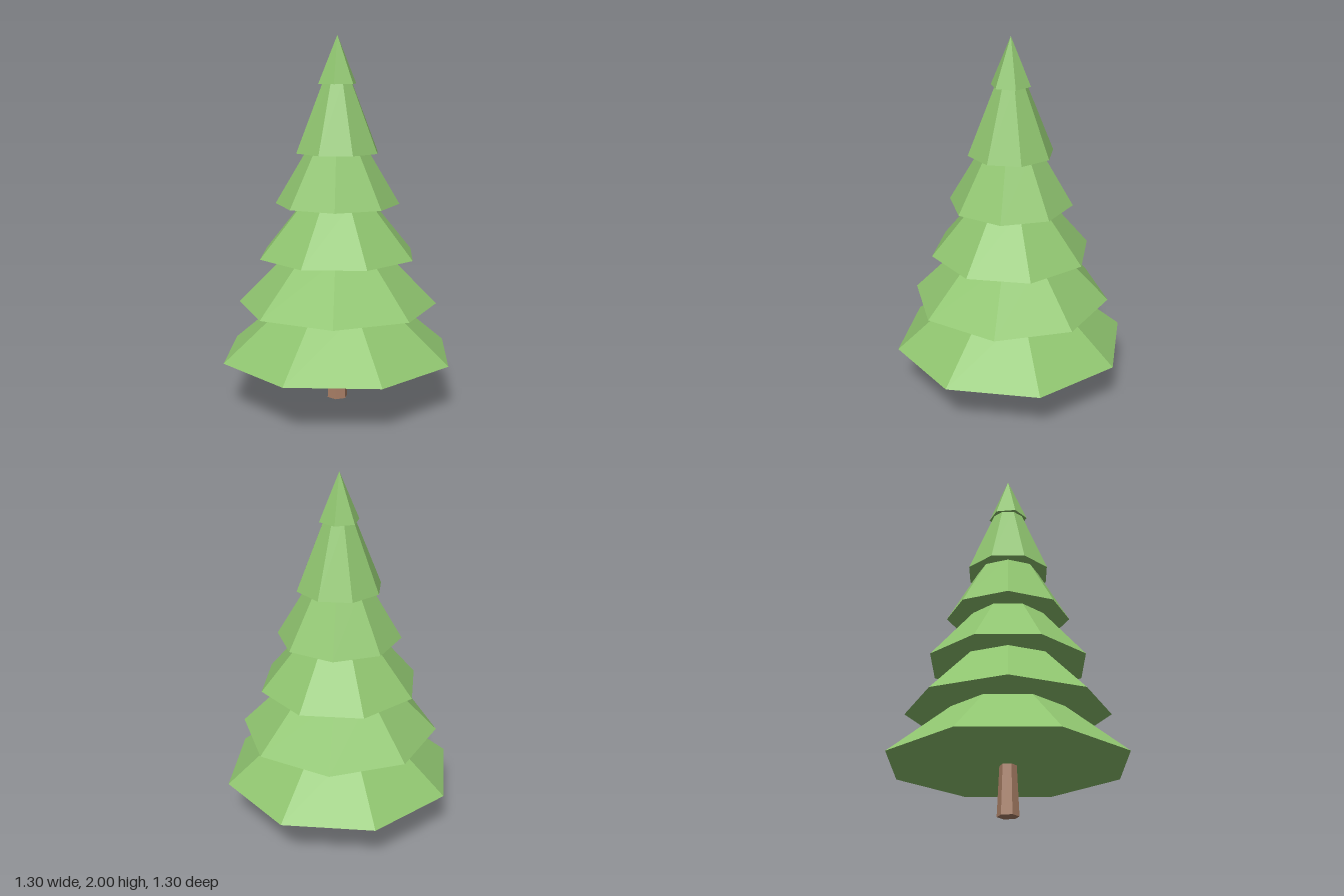
import * as THREE from 'three';

export function createModel() {
  const model = new THREE.Group();
  model.name = 'pineTree';

  const foliage = new THREE.MeshStandardMaterial({ color: 0x8fc46f });
  foliage.name = 'leaf green';
  const bark = new THREE.MeshStandardMaterial({ color: 0xa97f66 });
  bark.name = 'bark brown';

  // Faceted tapered ring, turned so its corners start at the given angle
  function addFrustum(name, material, sides, turn, y0, r0, y1, r1) {
    const geometry = new THREE.CylinderGeometry(r1, r0, y1 - y0, sides, 1, false, turn).toNonIndexed();
    geometry.computeVertexNormals();
    const mesh = new THREE.Mesh(geometry, material);
    mesh.name = name;
    mesh.position.y = (y0 + y1) / 2;
    model.add(mesh);
  }

  // Trunk
  addFrustum('trunk', bark, 6, Math.PI / 6, 0, 0.058, 0.27, 0.045);

  // Branch tiers, bottom to top: sides, turn, base height, base radius, top height, top radius
  const eighth = Math.PI / 8;
  const tiers = [
    [8, 0, 0.265, 0.65, 0.56, 0.3],
    [8, eighth, 0.545, 0.545, 0.835, 0.26],
    [8, 0, 0.82, 0.44, 1.115, 0.193],
    [8, eighth, 1.1, 0.337, 1.395, 0.163],
    [8, 0, 1.38, 0.233, 1.76, 0.08],
    [6, Math.PI / 6, 1.745, 0.108, 2, 0],
  ];
  tiers.forEach((tier, i) => addFrustum(`branchTier${i + 1}`, foliage, ...tier));

  return model;
}
